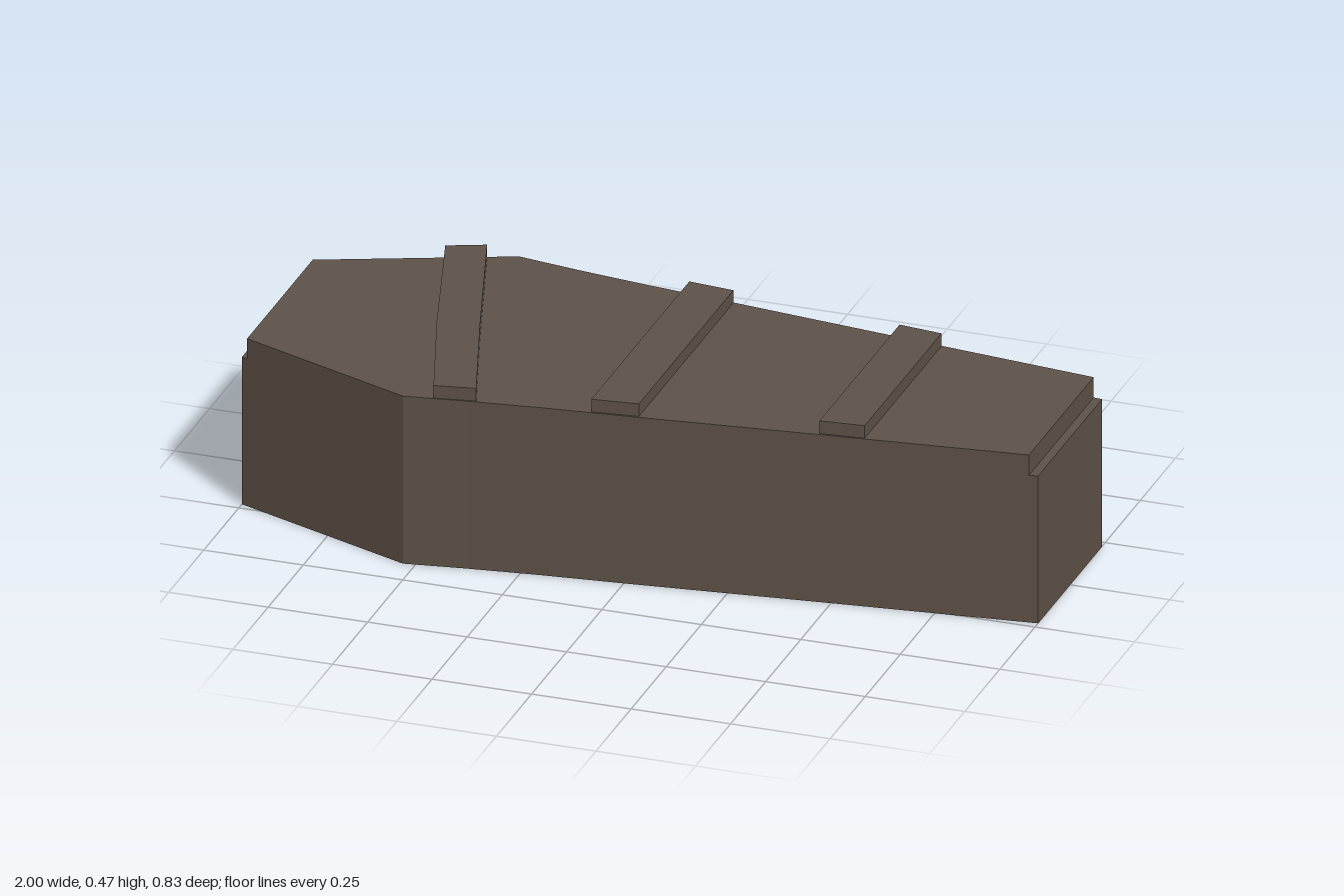
import * as THREE from 'three';

const BODY_TOP = 0.385, LID_TOP = 0.438, STRAP_TOP = 0.471;

// Half-width of the tapered plan: points of [x, z]
const SIDE = [[-1, 0.228], [-0.53, 0.414], [-0.38, 0.39], [-0.2, 0.366], [0, 0.344], [0.5, 0.285], [1, 0.228]];

function halfWidth(x) {
  const i = Math.max(1, SIDE.findIndex((p) => p[0] >= x));
  const [x0, z0] = SIDE[i - 1], [x1, z1] = SIDE[i];
  return z0 + (z1 - z0) * (x - x0) / (x1 - x0);
}

// Plan outline, cut off at both ends
function planOutline(from, to) {
  const inner = SIDE.filter((p) => p[0] > from && p[0] < to);
  const side = [[from, halfWidth(from)], ...inner, [to, halfWidth(to)]];
  return [...side, ...side.map(([x, z]) => [x, -z]).reverse()];
}

// Upright slab from a plan of [x, z] points
function slab(name, plan, bottom, top, material) {
  const shape = new THREE.Shape(plan.map(([x, z]) => new THREE.Vector2(x, -z)));
  const geometry = new THREE.ExtrudeGeometry(shape, { depth: top - bottom, bevelEnabled: false });
  geometry.rotateX(-Math.PI / 2).translate(0, bottom, 0);
  const mesh = new THREE.Mesh(geometry, material);
  mesh.name = name;
  return mesh;
}

export function createModel() {
  const group = new THREE.Group();
  group.name = 'coffin';
  const wood = new THREE.MeshStandardMaterial({ color: 0x5f5349 });
  wood.name = 'dark wood';

  // Box, and a lid stepped in at both ends
  group.add(slab('box', planOutline(-1, 1), 0, BODY_TOP, wood));
  group.add(slab('lid', planOutline(-0.985, 0.978), BODY_TOP, LID_TOP, wood));

  // Battens across the lid: a crooked one at the shoulders, two straight ones
  const battens = {
    shoulderBatten: [[-0.692, -0.347], [-0.6, -0.384], [-0.465, 0.05], [-0.357, 0.382], [-0.458, 0.4], [-0.57, 0.06]],
    middleBatten: [[-0.08, -0.35], [0.035, -0.338], [0.035, 0.335], [-0.08, 0.348]],
    footBatten: [[0.47, -0.288], [0.58, -0.275], [0.58, 0.272], [0.47, 0.282]],
  };
  for (const [name, plan] of Object.entries(battens)) {
    group.add(slab(name, plan, LID_TOP - 0.01, STRAP_TOP, wood));
  }
  return group;
}
